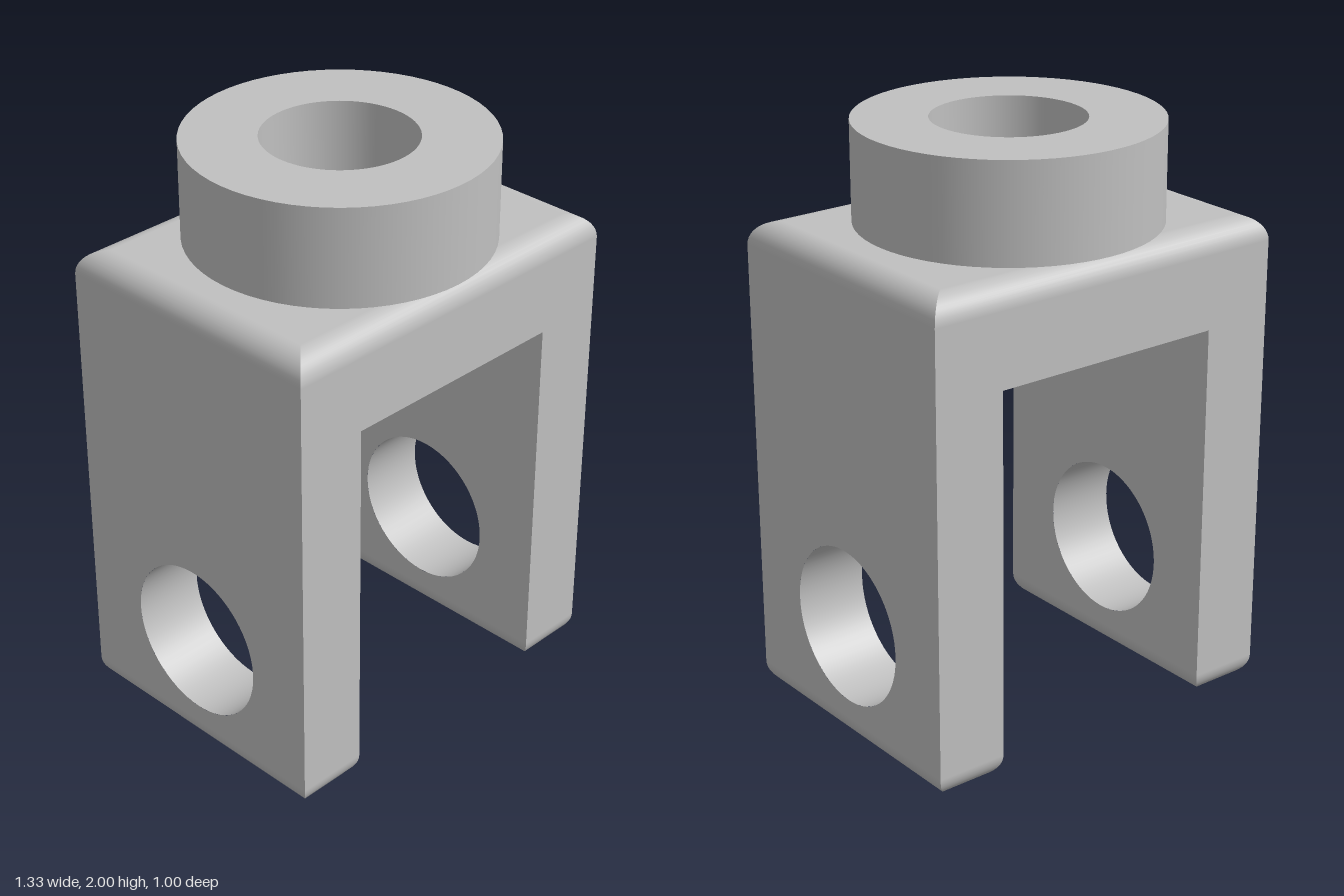
import * as THREE from 'three';

const W = 0.667, D = 0.5;            // half width and half depth of the fork
const INNER = 0.417, BRIDGE = 1.333; // half gap and underside of the bridge
const TOP = 1.667, R = 0.083;        // shoulder height and fillet radius
const BORE = 0.252, PIN = 0.27, PIN_Y = 0.42;

const grey = new THREE.MeshStandardMaterial({ color: 0xc0c0c0 });
grey.name = 'grey metal';

function add(group, name, geometry) {
  const mesh = new THREE.Mesh(geometry, grey);
  mesh.name = name;
  group.add(mesh);
  return mesh;
}

// Flat rectangle centred on x = 0, with an optional round hole
function plate(hx, y0, y1, holeR = 0, holeY = 0) {
  const shape = new THREE.Shape([[-hx, y0], [hx, y0], [hx, y1], [-hx, y1]].map(p => new THREE.Vector2(...p)));
  if (holeR) shape.holes.push(new THREE.Path().absarc(0, holeY, holeR, 0, Math.PI * 2, true));
  return new THREE.ShapeGeometry(shape, 48);
}

// Four rounded edges around a rectangle, mitred at the corners; dir is 1 for up, -1 for down
function mitredFillet(hx, hz, y, dir, steps = 10) {
  const pos = [], nor = [], idx = [];
  for (const [dx, dz] of [[1, 0], [0, 1], [-1, 0], [0, -1]]) {
    const start = pos.length / 3;
    for (let i = 0; i <= steps; i++) {
      const a = (i / steps) * Math.PI / 2, c = Math.cos(a), s = Math.sin(a);
      const ex = hx - R * (1 - c), ez = hz - R * (1 - c);
      for (const side of [-1, 1]) {
        pos.push((dx + side * dz) * ex, y + dir * R * s, (dz - side * dx) * ez);
        nor.push(dx * c, dir * s, dz * c);
      }
      if (i < steps) {
        const l = start + i * 2, r = l + 1, l2 = l + 2, r2 = l + 3;
        if (dir > 0) idx.push(l, r, r2, l, r2, l2);
        else idx.push(l, r2, r, l, l2, r2);
      }
    }
  }
  const g = new THREE.BufferGeometry();
  g.setAttribute('position', new THREE.Float32BufferAttribute(pos, 3));
  g.setAttribute('normal', new THREE.Float32BufferAttribute(nor, 3));
  g.setIndex(idx);
  return g;
}

// One straight segment of a turned profile, so neighbouring segments meet sharply
function turned(r0, y0, r1, y1) {
  return new THREE.LatheGeometry([new THREE.Vector2(r0, y0), new THREE.Vector2(r1, y1)], 64);
}

export function createModel() {
  const model = new THREE.Group();
  model.name = 'forkBracket';

  // Front and back faces of the upside-down U
  const u = new THREE.Shape([
    [-W, R], [-INNER, R], [-INNER, BRIDGE], [INNER, BRIDGE],
    [INNER, R], [W, R], [W, TOP - R], [-W, TOP - R],
  ].map(p => new THREE.Vector2(...p)));
  add(model, 'frontFace', new THREE.ShapeGeometry(u).translate(0, 0, D));
  add(model, 'backFace', new THREE.ShapeGeometry(u).rotateY(Math.PI).translate(0, 0, -D));

  // Bridge: underside, top and rounded shoulders
  add(model, 'bridgeUnderside', plate(INNER, -D, D, BORE).rotateX(Math.PI / 2).translate(0, BRIDGE, 0));
  add(model, 'bridgeTop', plate(W - R, R - D, D - R, BORE).rotateX(-Math.PI / 2).translate(0, TOP, 0));
  add(model, 'bridgeShoulders', mitredFillet(W, D, TOP - R, 1));

  // Legs with pin holes and rounded feet
  const mid = (W + INNER) / 2, half = (W - INNER) / 2;
  for (const [name, s] of [['leftLeg', 1], ['rightLeg', -1]]) {
    const leg = new THREE.Group();
    leg.name = name;
    add(leg, 'outerFace', plate(D, R, TOP - R, PIN, PIN_Y).rotateY(s * Math.PI / 2).translate(s * W, 0, 0));
    add(leg, 'innerFace', plate(D, R, BRIDGE, PIN, PIN_Y).rotateY(-s * Math.PI / 2).translate(s * INNER, 0, 0));
    add(leg, 'pinHole', turned(PIN, half, PIN, -half).rotateZ(Math.PI / 2).translate(s * mid, PIN_Y, 0));
    add(leg, 'footFillet', mitredFillet(half, D, R, -1).translate(s * mid, 0, 0));
    add(leg, 'footSole', plate(half - R, R - D, D - R).rotateX(Math.PI / 2).translate(s * mid, 0, 0));
    model.add(leg);
  }

  // Collar and the bore running down through the bridge
  const collar = new THREE.Group();
  collar.name = 'collar';
  add(collar, 'collarUnderside', turned(BORE, TOP, 0.5, TOP));
  add(collar, 'collarWall', turned(0.5, TOP, 0.5, 2));
  add(collar, 'collarTop', turned(0.5, 2, BORE, 2));
  add(collar, 'bore', turned(BORE, 2, BORE, BRIDGE));
  model.add(collar);

  return model;
}
